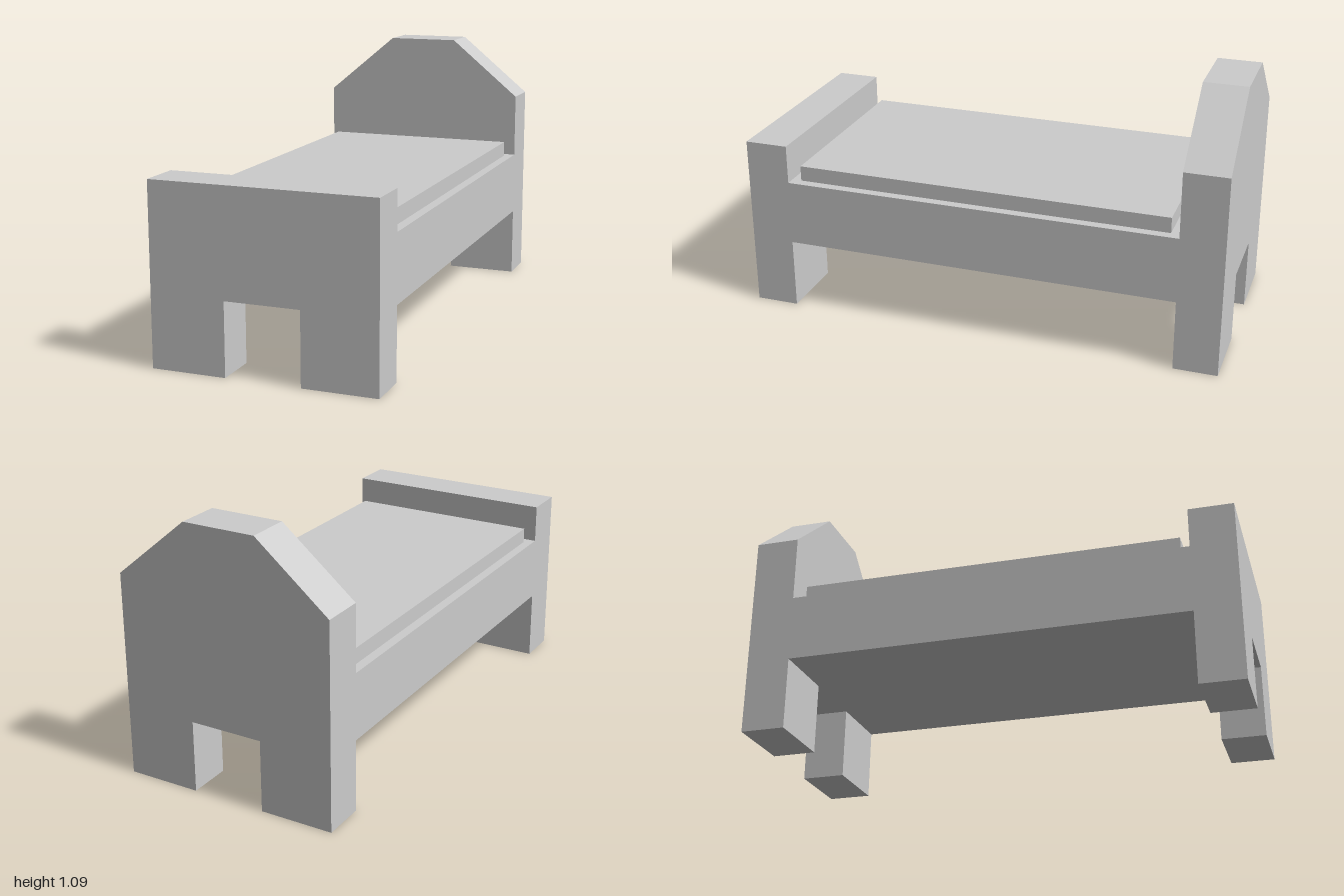
import * as THREE from 'three';

const HALF_W = 0.455;   // half width of the bed
const LEG_IN = 0.152;   // inner edge of the legs
const RAIL_Y = 0.295;   // underside of the frame
const DECK_Y = 0.567;   // top of the frame
const BOARD_T = 0.18;   // thickness of the end boards

const material = new THREE.MeshStandardMaterial({ color: 0xcccccc, flatShading: true });

function addMesh(group, name, geometry, x, y, z) {
  const mesh = new THREE.Mesh(geometry, material);
  mesh.name = name;
  mesh.position.set(x, y, z);
  group.add(mesh);
}

// End board with two legs: the right half of the outline is mirrored to the left
function endBoard(topPoints) {
  const half = [[LEG_IN, RAIL_Y], [LEG_IN, 0], [HALF_W, 0], ...topPoints];
  const mirrored = half.map(([x, y]) => [-x, y]).reverse();
  const shape = new THREE.Shape([...half, ...mirrored].map(([x, y]) => new THREE.Vector2(x, y)));
  return new THREE.ExtrudeGeometry(shape, { depth: BOARD_T, bevelEnabled: false });
}

export function createModel() {
  const bed = new THREE.Group();
  bed.name = 'bed';

  // Tall headboard with sloped shoulders, low square footboard
  addMesh(bed, 'headboard', endBoard([[HALF_W, 0.84], [LEG_IN, 1.092]]), 0, 0, -1);
  addMesh(bed, 'footboard', endBoard([[HALF_W, 0.728]]), 0, 0, 1 - BOARD_T);

  // Solid frame between the boards
  const frameH = DECK_Y - RAIL_Y;
  addMesh(bed, 'frame', new THREE.BoxGeometry(HALF_W * 2, frameH, 2 - 2 * BOARD_T),
    0, RAIL_Y + frameH / 2, 0);

  // Thin mattress, inset from the frame edge
  const mattressH = 0.064;
  addMesh(bed, 'mattress', new THREE.BoxGeometry(0.832, mattressH, 1.56),
    0, DECK_Y + mattressH / 2, 0);

  return bed;
}
